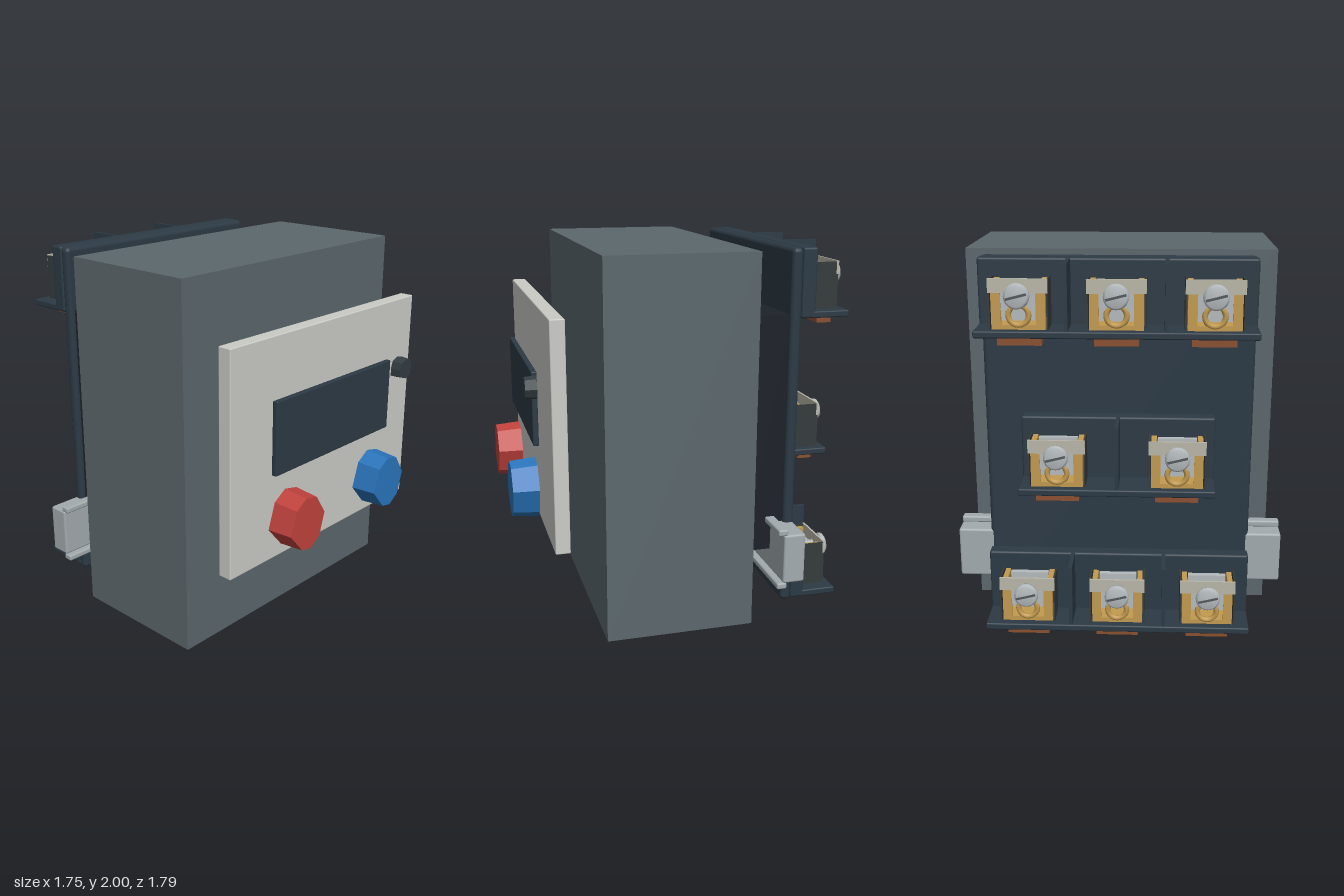
import * as THREE from 'three';
import { RoundedBoxGeometry } from 'three/addons/geometries/RoundedBoxGeometry.js';

const mat = (color) => new THREE.MeshStandardMaterial({ color });
const M = {
  body: mat(0x5c686d), panel: mat(0xcbcbc6), navy: mat(0x2c3a45), black: mat(0x1d2129),
  red: mat(0xc0423c), blue: mat(0x2a74bb), knob: mat(0x333d42), steel: mat(0xb4babd),
  brass: mat(0xc39a50), copper: mat(0x8a5030), beige: mat(0xb9b7a8), olive: mat(0x353b3b),
  rail: mat(0xa3abaf), slot: mat(0x55595c),
};

function add(parent, name, geometry, material) {
  const mesh = new THREE.Mesh(geometry, material);
  mesh.name = name;
  parent.add(mesh);
  return mesh;
}

// Box given by its limits on each axis, optionally with rounded edges
function box(parent, name, material, [x0, x1], [y0, y1], [z0, z1], r = 0) {
  const s = [x1 - x0, y1 - y0, z1 - z0];
  const g = r ? new RoundedBoxGeometry(...s, 3, r) : new THREE.BoxGeometry(...s);
  g.translate((x0 + x1) / 2, (y0 + y1) / 2, (z0 + z1) / 2);
  return add(parent, name, g, material);
}

// Faceted button: uneven octagon, slightly narrower at the front
function button(parent, name, material, outline, x, y, z, depth) {
  const g = new THREE.ExtrudeGeometry(new THREE.Shape(outline.map(([a, b]) => new THREE.Vector2(a, b))),
    { depth, bevelEnabled: false });
  const p = g.attributes.position;
  for (let i = 0; i < p.count; i++) {
    const k = 1 - 0.07 * p.getZ(i) / depth;
    p.setXY(i, p.getX(i) * k, p.getY(i) * k);
  }
  g.computeVertexNormals();
  add(parent, name, g, material).position.set(x, y, z);
}

// Slotted clamp screw pointing backwards, origin under the head
function screw(parent, x, y, z) {
  const s = new THREE.Group();
  s.name = 'clampScrew';
  const v = (a, b) => new THREE.Vector2(a, b);
  add(s, 'screwHead', new THREE.LatheGeometry(
    [v(0, 0), v(0.06, 0), v(0.063, 0.01), v(0.062, 0.026), v(0.05, 0.037), v(0, 0.039)], 20), M.steel);
  const thread = [v(0, -0.135)];
  for (let i = 0; i < 7; i++) thread.push(v(0.022, -0.13 + i * 0.018), v(0.032, -0.121 + i * 0.018));
  thread.push(v(0.022, 0));
  add(s, 'screwThread', new THREE.LatheGeometry(thread, 14), M.steel);
  const slot = add(s, 'screwSlot', new THREE.BoxGeometry(0.104, 0.004, 0.012), M.slot);
  slot.position.y = 0.038;
  slot.rotation.y = 0.25;
  s.rotation.x = -Math.PI / 2;
  s.position.set(x, y, z);
  parent.add(s);
}

// One terminal; y = 0 is the underside of its shelf
function terminal(parent, x) {
  const t = new THREE.Group();
  t.name = 'terminal';
  t.position.x = x;
  parent.add(t);
  for (const s of [-1, 1]) {
    const span = (a, b) => (s > 0 ? [a, b] : [-b, -a]);
    box(t, 'terminalCheek', M.olive, span(0.137, 0.145), [0.035, 0.28], [-0.83, -0.68]);
    box(t, 'brassCheek', M.brass, span(0.105, 0.132), [0.035, 0.27], [-0.81, -0.685]);
    box(t, 'brassLip', M.brass, span(0.085, 0.132), [0.035, 0.22], [-0.825, -0.81]);
  }
  box(t, 'beigeCover', M.beige, [-0.145, 0.145], [0.215, 0.285], [-0.832, -0.82]);
  box(t, 'brassFoot', M.brass, [-0.105, 0.105], [0.035, 0.06], [-0.825, -0.685]);
  box(t, 'pressurePlate', M.steel, [-0.1, 0.1], [0.06, 0.265], [-0.72, -0.69]);
  box(t, 'clampPlate', M.steel, [-0.085, 0.085], [0.13, 0.215], [-0.82, -0.805]);
  add(t, 'brassRing', new THREE.TorusGeometry(0.05, 0.014, 8, 20), M.brass).position.set(0, 0.105, -0.815);
  box(t, 'copperTab', M.copper, [-0.11, 0.11], [-0.045, 0.01], [-0.815, -0.735]);
  screw(t, 0, 0.207, -0.852);
}

// Row of terminals on a backing strip with a shelf and barriers between
function terminalRow(parent, name, y, halfWidth, xs, barriers) {
  const row = new THREE.Group();
  row.name = name;
  row.position.y = y;
  parent.add(row);
  const w = [-halfWidth, halfWidth];
  box(row, 'backingStrip', M.navy, w, [0, 0.365], [-0.68, -0.6], 0.012);
  box(row, 'shelf', M.navy, w, [0, 0.036], [-0.868, -0.66], 0.008);
  for (const b of barriers) box(row, 'barrier', M.navy, [b - 0.01, b + 0.01], [0.01, 0.364], [-0.862, -0.65]);
  for (const x of xs) terminal(row, x);
}

export function createModel() {
  const model = new THREE.Group();
  model.name = 'switchUnit';

  // Housing, rear block and rear plate
  box(model, 'housing', M.body, [-0.82, 0.82], [0, 2], [-0.325, 0.47]);
  box(model, 'rearBlock', M.black, [-0.665, 0.665], [0.355, 1.655], [-0.56, -0.32]);
  box(model, 'rearPlate', M.navy, [-0.697, 0.697], [0.045, 2], [-0.603, -0.543], 0.025);

  // Floating front panel with display, buttons and small knob
  box(model, 'frontPanel', M.panel, [-0.757, 0.757], [0.49, 1.7], [0.642, 0.72], 0.006);
  box(model, 'display', M.navy, [-0.487, 0.482], [0.99, 1.387], [0.75, 0.78], 0.006);
  const big = [[-0.145, -0.03], [-0.045, -0.145], [0.03, -0.16], [0.105, -0.11],
    [0.145, 0.025], [0.07, 0.14], [-0.02, 0.16], [-0.1, 0.11]];
  const small = [[-0.056, -0.04], [0.005, -0.062], [0.048, -0.042], [0.062, 0.0],
    [0.043, 0.05], [0.002, 0.06], [-0.045, 0.042], [-0.058, 0.0]];
  button(model, 'redButton', M.red, big, -0.363, 0.725, 0.755, 0.14);
  button(model, 'blueButton', M.blue, big, 0.355, 0.725, 0.755, 0.14);
  button(model, 'smallKnob', M.knob, small, 0.565, 1.328, 0.768, 0.06);

  // Mounting rail with a lip along each edge
  const railX = [-0.873, 0.873];
  box(model, 'railBody', M.rail, railX, [0.238, 0.512], [-0.6, -0.48], 0.012);
  for (const y of [0.205, 0.51]) box(model, 'railLip', M.rail, railX, [y, y + 0.035], [-0.502, -0.447], 0.01);

  // Terminal rows
  terminalRow(model, 'topTerminals', 1.635, 0.695, [-0.475, 0, 0.475], [-0.243, 0.243]);
  terminalRow(model, 'middleTerminals', 0.822, 0.5, [-0.305, 0.305], [0]);
  terminalRow(model, 'bottomTerminals', 0.055, 0.695, [-0.475, 0, 0.475], [-0.243, 0.243]);
  return model;
}
